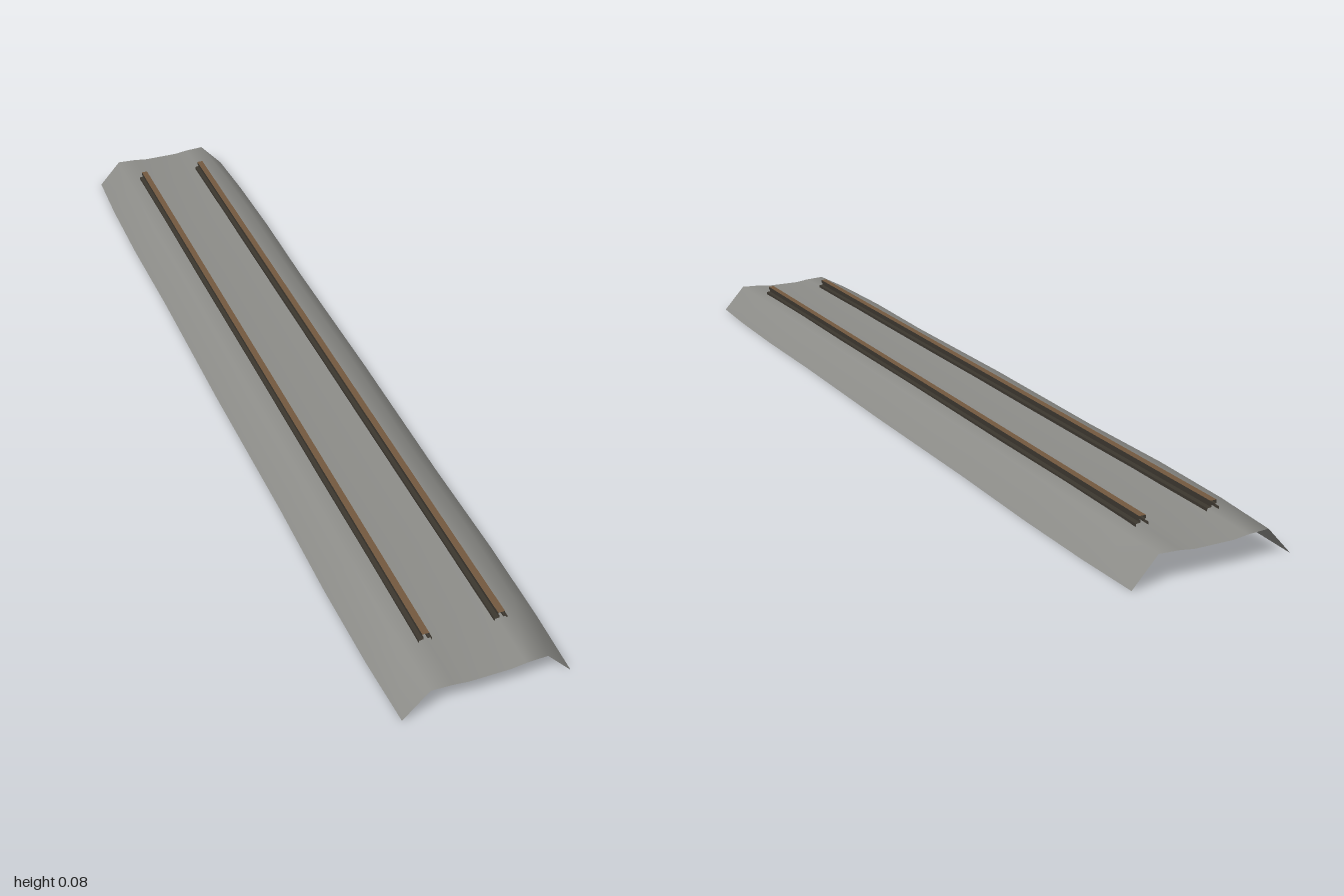
import * as THREE from 'three';

const bedGrey = new THREE.MeshStandardMaterial({ name: 'bedGrey', color: 0x8c8c88, side: THREE.DoubleSide });
const railDark = new THREE.MeshStandardMaterial({ name: 'railDark', color: 0x3b362e, side: THREE.DoubleSide });
const railRust = new THREE.MeshStandardMaterial({ name: 'railRust', color: 0x73593f, side: THREE.DoubleSide });

// Sweeps open [x, y] sections through z stations into a sheet facing up (sections run left to right in x)
function loft(sections, zs, smooth) {
  const n = sections[0].length, pos = [], idx = [];
  sections.forEach((s, i) => s.forEach(([x, y]) => pos.push(x, y, zs[i])));
  for (let i = 0; i < zs.length - 1; i++) {
    for (let j = 0; j < n - 1; j++) {
      const a = i * n + j, b = a + n;
      idx.push(a, b, a + 1, a + 1, b, b + 1);
    }
  }
  let g = new THREE.BufferGeometry();
  g.setAttribute('position', new THREE.Float32BufferAttribute(pos, 3));
  g.setIndex(idx);
  if (!smooth) g = g.toNonIndexed();
  g.computeVertexNormals();
  return g;
}

function mesh(name, geometry, material) {
  const m = new THREE.Mesh(geometry, material);
  m.name = name;
  return m;
}

// Embankment: one thin open sheet, slightly wider and taller away from its ends
function buildBed() {
  const end = [[0.17, 0], [0.117, 0.058], [0.073, 0.056], [0.042, 0.052]];
  const mid = [[0.179, 0], [0.126, 0.064], [0.073, 0.062], [0.042, 0.058]];
  const zs = [-1, -0.85, -0.65, -0.4, 0, 0.4, 0.65, 0.85, 1];
  const swell = [0, 0.7, 1, 0.75, 1, 0.75, 1, 0.7, 0];
  const sections = swell.map((t) => {
    const half = end.map(([x, y], k) => [x + (mid[k][0] - x) * t, y + (mid[k][1] - y) * t]);
    return [...half.map(([x, y]) => [-x, y]), ...half.reverse()];
  });
  return mesh('trackBed', loft(sections, zs, true), bedGrey);
}

// Rail: open-ended foot, web and head with a worn running surface
function buildRail(name, x) {
  const rail = new THREE.Group();
  rail.name = name;
  const zs = [-0.89, 0.89];
  const strip = (part, pts, mat) => rail.add(mesh(part, loft([pts, pts], zs, false), mat));
  const flank = [[-0.013, 0.06], [-0.013, 0.066], [-0.004, 0.067], [-0.004, 0.072], [-0.007, 0.073], [-0.007, 0.08]];
  strip('railRightFlank', flank, railDark);
  strip('railLeftFlank', flank.map(([px, py]) => [-px, py]).reverse(), railDark);
  strip('railHead', [[-0.007, 0.08], [0.007, 0.08]], railRust);
  rail.position.x = x;
  return rail;
}

export function createModel() {
  const model = new THREE.Group();
  model.name = 'railwayTrack';
  model.add(buildBed(), buildRail('rightRail', -0.077), buildRail('leftRail', 0.077));
  return model;
}
